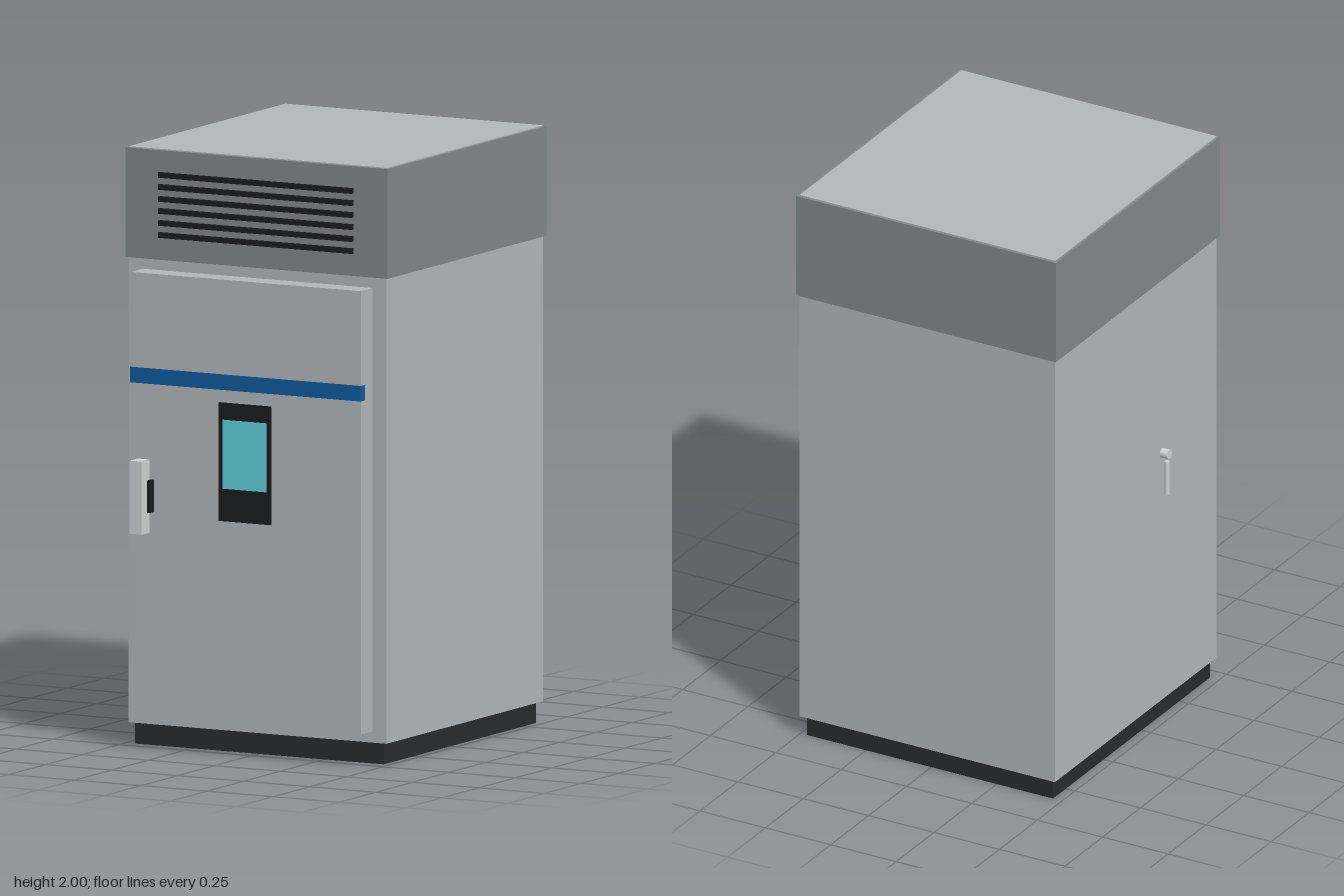
import * as THREE from 'three';

const mat = (color) => new THREE.MeshStandardMaterial({ color });

export function createModel() {
  const group = new THREE.Group();
  const steel = mat(0xb4b8bb), hoodGrey = mat(0x82888b), black = mat(0x1a1c1e);
  const plinthGrey = mat(0x2a2b2c), blue = mat(0x0f5a9e), cyan = mat(0x60d0dc), chrome = mat(0xd0d4d6);

  const add = (name, geometry, material, x, y, z) => {
    const mesh = new THREE.Mesh(geometry, material);
    mesh.name = name;
    mesh.position.set(x, y, z);
    group.add(mesh);
    return mesh;
  };
  // box given by its extents along each axis
  const box = (name, material, [x0, x1], [y0, y1], [z0, z1]) =>
    add(name, new THREE.BoxGeometry(x1 - x0, y1 - y0, z1 - z0), material,
      (x0 + x1) / 2, (y0 + y1) / 2, (z0 + z1) / 2);

  // cabinet
  box('plinth', plinthGrey, [-0.465, 0.476], [0, 0.08], [-0.585, 0.452]);
  box('cabinet', steel, [-0.482, 0.494], [0.072, 2], [-0.602, 0.466]);
  box('hood', hoodGrey, [-0.49, 0.503], [1.63, 1.997], [-0.61, 0.474]);

  // ventilation slats
  for (let i = 0; i < 6; i++) {
    const y = 1.714 + i * 0.0402;
    box('ventSlat', black, [-0.361, 0.373], [y - 0.009, y + 0.009], [0.465, 0.485]);
  }

  // door with stripe and control panel
  box('door', steel, [-0.429, 0.442], [0.11, 1.594], [0.46, 0.547]);
  box('doorStripe', blue, [-0.43, 0.443], [1.225, 1.277], [0.52, 0.55]);
  box('controlPanel', black, [-0.092, 0.104], [0.787, 1.183], [0.53, 0.557]);
  box('screen', cyan, [-0.075, 0.09], [0.896, 1.127], [0.54, 0.559]);

  // door handle
  box('handleMount', black, [-0.41, -0.341], [0.797, 0.905], [0.54, 0.573]);
  box('handleGrip', chrome, [-0.398, -0.353], [0.728, 0.973], [0.556, 0.61]);

  // probe on the side wall
  add('sidePeg', new THREE.CylinderGeometry(0.016, 0.016, 0.035, 24), chrome, -0.4925, 0.985, 0.107)
    .rotation.z = Math.PI / 2;
  add('sideProbe', new THREE.CylinderGeometry(0.009, 0.009, 0.122, 16), chrome, -0.5, 0.896, 0.107);

  return group;
}
